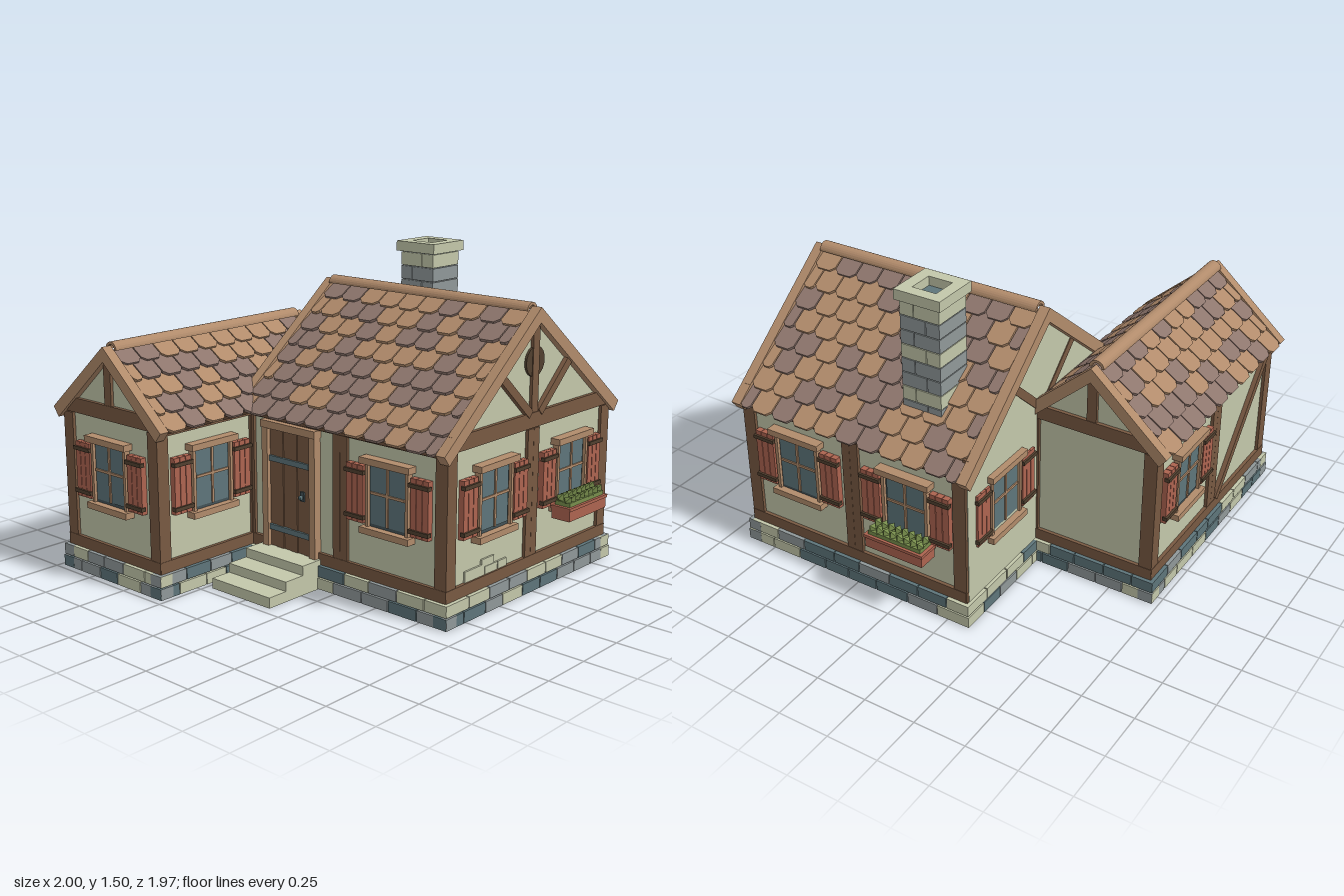
import * as THREE from 'three';

const mat = (name, color) => {
  const m = new THREE.MeshStandardMaterial({ color, flatShading: true, side: THREE.DoubleSide });
  m.name = name;
  return m;
};
const M = {
  plaster: mat('plaster', 0xc3c7aa), slate: mat('slate', 0x5e757a), stone: mat('greyStone', 0x909899),
  timber: mat('darkTimber', 0x785942), tan: mat('tanWood', 0xb18b6b), mauve: mat('mauveTile', 0x8e766d),
  red: mat('shutterRed', 0xad6450), green: mat('leafGreen', 0x788e4c), iron: mat('windowIron', 0x435257),
  brown: mat('shadowBrown', 0x51402f),
};

let seed = 7;
const rnd = () => (seed = (seed * 16807) % 2147483647) / 2147483647;

function add(parent, name, geo, material, x = 0, y = 0, z = 0) {
  const m = new THREE.Mesh(geo, material);
  m.name = name;
  m.position.set(x, y, z);
  parent.add(m);
  return m;
}
// Box given by its minimum and maximum corners
function box(parent, name, material, x0, x1, y0, y1, z0, z1) {
  return add(parent, name, new THREE.BoxGeometry(x1 - x0, y1 - y0, z1 - z0), material,
    (x0 + x1) / 2, (y0 + y1) / 2, (z0 + z1) / 2);
}
function group(parent, name, x = 0, y = 0, z = 0, ry = 0) {
  const g = new THREE.Group();
  g.name = name;
  g.position.set(x, y, z);
  g.rotation.y = ry;
  parent.add(g);
  return g;
}
const polygon = pts => new THREE.Shape(pts.map(p => new THREE.Vector2(p[0], p[1])));
const extrude = (pts, depth) => new THREE.ExtrudeGeometry(polygon(pts), { depth, bevelEnabled: false });

// Slanted timber between two points of a wall
function brace(parent, x0, y0, x1, y1) {
  const len = Math.hypot(x1 - x0, y1 - y0);
  const m = add(parent, 'brace', new THREE.BoxGeometry(len, 0.04, 0.025), M.timber, (x0 + x1) / 2, (y0 + y1) / 2, -0.005);
  m.rotation.z = Math.atan2(y1 - y0, x1 - x0);
}

function windowUnit(wall, x, flowers) {
  const g = group(wall, 'window', x);
  box(g, 'windowFrame', M.iron, -0.11, 0.11, 0.365, 0.665, -0.02, 0.0);
  box(g, 'glass', M.slate, -0.098, 0.098, 0.385, 0.655, -0.01, 0.004);
  box(g, 'mullion', M.tan, -0.006, 0.006, 0.385, 0.655, 0, 0.01);
  box(g, 'transom', M.tan, -0.098, 0.098, 0.522, 0.534, 0, 0.01);
  box(g, 'lintel', M.tan, -0.142, 0.142, 0.66, 0.69, -0.02, 0.035);
  box(g, 'sill', M.tan, -0.14, 0.14, 0.34, 0.37, -0.02, 0.035);
  for (const s of [-1, 1]) {
    box(g, 'windowJamb', M.tan, s * 0.114 - 0.008, s * 0.114 + 0.008, 0.37, 0.66, -0.02, 0.015);
    const sh = group(g, 'shutter', s * 0.184);
    for (let i = -1; i <= 1; i++)
      box(sh, 'shutterPlank', M.red, i * 0.034 - 0.0155, i * 0.034 + 0.0155, 0.378, 0.643, -0.015, 0.014);
    for (const y of [0.405, 0.612]) box(sh, 'shutterBatten', M.brown, -0.056, 0.056, y - 0.009, y + 0.009, 0, 0.024);
  }
  if (!flowers) return;
  const f = group(g, 'flowerBox');
  box(f, 'planter', M.red, -0.152, 0.152, 0.315, 0.375, 0.01, 0.108);
  box(f, 'planterRim', M.red, -0.157, 0.157, 0.365, 0.38, 0.005, 0.113);
  box(f, 'greenery', M.green, -0.14, 0.14, 0.37, 0.4, 0.018, 0.1);
  for (let r = 0; r < 2; r++) for (let i = 0; i < 8; i++) {
    const leaf = add(f, 'leaf', new THREE.OctahedronGeometry(0.03), M.green, -0.128 + i * 0.0365, 0.41 - r * 0.006, 0.04 + r * 0.04);
    leaf.scale.set(0.65, 1.1, 0.8);
    leaf.rotation.x = 0.4 + 0.3 * rnd();
  }
}

function door(wall, x) {
  const g = group(wall, 'door', x);
  for (let i = 0; i < 6; i++)
    box(g, 'doorPlank', M.timber, -0.132 + i * 0.044, -0.09 + i * 0.044, 0.13, 0.72, -0.02, 0.005 + (i % 2) * 0.004);
  for (const s of [-1, 1]) box(g, 'doorJamb', M.tan, s * 0.15 - 0.018, s * 0.15 + 0.018, 0.12, 0.72, -0.02, 0.025);
  box(g, 'doorLintel', M.tan, -0.172, 0.172, 0.715, 0.75, -0.02, 0.03);
  for (const y of [0.235, 0.57]) box(g, 'hinge', M.slate, -0.13, 0.12, y - 0.013, y + 0.013, 0, 0.017);
  box(g, 'handlePlate', M.iron, 0.068, 0.092, 0.4, 0.445, 0, 0.016);
  add(g, 'handle', new THREE.SphereGeometry(0.012, 8, 6), M.slate, 0.08, 0.42, 0.024);
}

// Timber frame and stone footing of one wall: x along the wall, z outward
function wall(parent, name, x, z, ry, len, o = {}) {
  const g = group(parent, name, x, 0, z, ry), h = len / 2;
  box(g, 'sillBeam', M.timber, -h, h, 0.115, 0.17, -0.03, 0.002);
  for (const s of [-1, 1]) box(g, 'cornerPost', M.timber, s * (h - 0.0325) - 0.0325, s * (h - 0.0325) + 0.0325, 0.12, 0.77, -0.03, 0);
  if (len > 1) for (const s of [-1, 1]) box(g, 'middlePost', M.timber, s * 0.022 - 0.0215, s * 0.022 + 0.0215, 0.12, 0.77, -0.03, 0);
  if (o.gable) {
    box(g, 'tieBeam', M.timber, -h + 0.03, h - 0.03, 0.775, 0.845, -0.03, 0.003);
    box(g, 'kingPost', M.timber, -0.024, 0.024, 0.84, o.gable - 0.03, -0.03, 0);
  } else box(g, 'wallPlate', M.timber, -h, h, 0.75, 0.77, -0.03, 0);
  if (o.vent) {
    const v = add(g, 'roundVent', new THREE.CylinderGeometry(0.07, 0.07, 0.02, 20), M.brown, 0, 1.075, -0.014);
    v.rotation.x = Math.PI / 2;
    for (const s of [-1, 1]) brace(g, s * 0.035, 0.84, s * 0.27, 1.055);
  }
  for (const w of o.windows || []) windowUnit(g, w[0], w[1]);
  // Two courses of footing stones
  for (let r = 0; r < 2; r++) {
    const n = Math.round(len / 0.145), L = len + 0.045 - r * 0.006;
    let a = -L / 2;
    for (let i = 0; i < n; i++) {
      const last = i === n - 1;
      const b = last ? L / 2 : -L / 2 + (L * (i + 1 + (r ? 0.2 : -0.1) + 0.2 * (rnd() - 0.5))) / n;
      const m = [M.slate, M.stone, M.plaster][Math.floor(rnd() * 3)];
      box(g, 'footingStone', m, a, b - (last ? 0 : 0.005), 0.003 + r * 0.058, 0.056 + r * 0.058, -0.05, 0.022 - r * 0.003);
      a = b;
    }
  }
  return g;
}

// Shingle with clipped lower corners, running down +z
function tileGeometry(w, len) {
  const h = w / 2, c = Math.min(0.022, h * 0.5);
  return extrude([[-h, 0], [h, 0], [h, len - c], [h - c, len], [c - h, len], [-h, len - c]], 0.014).rotateX(Math.PI / 2);
}

// Gable roof: ridge along x, slopes towards +z and -z
function roof(parent, name, x, z, ry, ridge, run, drop, rows) {
  const g = group(parent, name, x, 0, z, ry);
  const L = Math.hypot(run, drop) - 0.012, e = L / rows, tw = 0.118, half = 0.59;
  for (const side of [0, Math.PI]) {
    const slope = group(group(g, 'roofSide', 0, ridge, 0, side), 'slope');
    slope.rotation.x = Math.atan2(drop, run);
    box(slope, 'roofDeck', M.timber, -half, half, -0.035, -0.01, 0, L - 0.02);
    for (let r = 0; r < rows; r++) {
      const off = r % 2 ? tw / 2 : 0;
      for (let a = -half - off; a < half - 0.01; a += tw) {
        const x0 = Math.max(a, -half), x1 = Math.min(a + tw, half);
        const start = Math.max(0, (r - 0.3) * e);
        const t = add(slope, 'shingle', tileGeometry(x1 - x0 - 0.006, (r + 1) * e - start + 0.006 * rnd()),
          rnd() < 0.52 ? M.mauve : M.tan, (x0 + x1) / 2, 0, start);
        t.rotation.x = -0.13;
      }
    }
  }
  // Mitred verge boards at both ends
  const E = ridge - drop;
  const verge = extrude([[0, ridge + 0.02], [-run, E + 0.02], [-run + 0.035, E - 0.025], [0, ridge - 0.05],
    [run - 0.035, E - 0.025], [run, E + 0.02]], 0.05).rotateY(Math.PI / 2);
  for (const vx of [-0.64, 0.59]) add(g, 'vergeBoard', verge, M.tan, vx);
  // Half-round hollow ridge cap
  for (const r of [0.024, 0.037])
    add(g, 'ridgeCap', new THREE.CylinderGeometry(r, r, 1.18, 12, 1, true, 0, Math.PI).rotateZ(Math.PI / 2), M.tan, 0, ridge, 0);
  for (const s of [-1, 1])
    add(g, 'ridgeCapEnd', new THREE.RingGeometry(0.024, 0.037, 12, 1, 0, Math.PI).rotateY(s * Math.PI / 2), M.tan, s * 0.59, ridge, 0);
}

function chimney(parent) {
  const g = group(parent, 'chimney', -0.03, 0, -0.625);
  const colours = [M.stone, M.plaster, M.stone, M.stone, M.plaster, M.stone, M.stone, M.plaster];
  colours.forEach((m, i) => {
    const y = 0.9 + i * 0.068, joint = i % 2 ? 0.03 : -0.03;
    box(g, 'chimneyStone', m, -0.1, joint - 0.002, y, y + 0.064, -0.1, 0.1);
    box(g, 'chimneyStone', m, joint + 0.002, 0.1, y, y + 0.064, -0.1, 0.1);
  });
  box(g, 'mortarCore', M.stone, -0.094, 0.094, 0.9, 1.446, -0.094, 0.094);
  box(g, 'flue', M.slate, -0.062, 0.062, 1.44, 1.452, -0.062, 0.062);
  for (let k = 0; k < 4; k++)
    box(group(g, 'capSide', 0, 0, 0, k * Math.PI / 2), 'capStone', M.plaster, -0.117, 0.06, 1.446, 1.495, 0.06, 0.117);
}

export function createModel() {
  const root = new THREE.Group();
  root.name = 'cottage';
  const P = Math.PI;

  // Plaster bodies with gable ends
  const body = (h, eave, apex) => extrude([[-h, 0.1], [h, 0.1], [h, eave], [0, apex], [-h, eave]], 1.21).translate(0, 0, -0.605);
  add(root, 'mainBody', body(0.605, 0.77, 1.26).rotateY(P / 2), M.plaster, 0.26, 0, -0.25);
  add(root, 'wingBody', body(0.315, 0.77, 1.05), M.plaster, -0.62, 0, 0.33);
  box(root, 'mainBase', M.slate, -0.345, 0.885, 0, 0.11, -0.875, 0.375);
  box(root, 'wingBase', M.slate, -0.955, -0.285, 0.001, 0.109, -0.295, 0.955);

  // Main house walls
  door(wall(root, 'mainFront', 0.27, 0.37, 0, 1.22, { windows: [[0.285]] }), -0.3);
  const gableWall = wall(root, 'mainLeftSide', 0.88, -0.25, P / 2, 1.24, { gable: 1.26, vent: true, windows: [[-0.29], [0.3, true]] });
  wall(root, 'mainBack', 0.27, -0.87, P, 1.22, { windows: [[-0.3], [0.3, true]] });
  wall(root, 'mainRightSide', -0.342, -0.25, -P / 2, 1.24, { gable: 1.26, vent: true, windows: [[-0.31]] });
  // Exposed masonry
  for (const [x, y, w] of [[-0.31, 0.17, 0.14], [-0.165, 0.17, 0.09], [-0.07, 0.17, 0.065], [-0.19, 0.208, 0.09]])
    box(gableWall, 'exposedStone', M.plaster, x - 0.17, x - 0.17 + w, y, y + (w > 0.13 ? 0.05 : 0.036), -0.02, -0.006);

  // Wing walls
  wall(root, 'wingFront', -0.62, 0.95, 0, 0.66, { gable: 1.07, windows: [[0]] });
  wall(root, 'wingBack', -0.62, -0.29, P, 0.66, { gable: 1.07 });
  brace(wall(root, 'wingOuterSide', -0.95, 0.33, -P / 2, 1.24, { windows: [[-0.3]] }), 0.05, 0.17, 0.56, 0.75);
  wall(root, 'wingInnerSide', -0.29, 0.33, P / 2, 1.24, { windows: [[-0.3]] });

  // Roofs
  roof(root, 'mainRoof', 0.26, -0.25, 0, 1.3, 0.67, 0.54, 8);
  roof(root, 'wingRoof', -0.62, 0.33, P / 2, 1.1, 0.38, 0.335, 5);
  chimney(root);

  // Door steps
  [[0.05, 0.705], [0.095, 0.6], [0.14, 0.49]].forEach(([h, z], i) =>
    box(root, 'doorStep', M.plaster, -0.218, 0.152, i ? h - 0.045 : 0, h, 0.36, z));
  return root;
}
